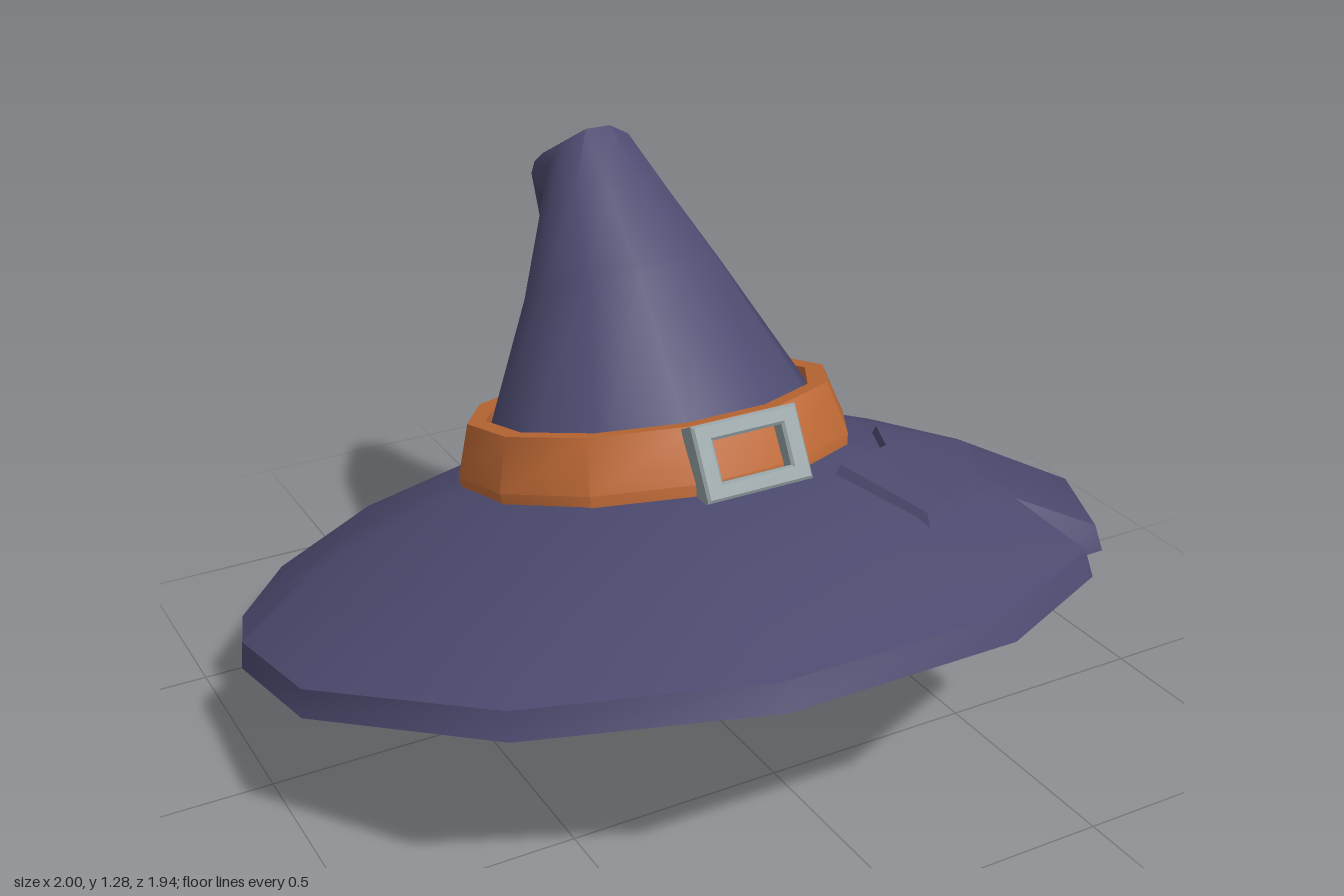
import * as THREE from 'three';
import { toCreasedNormals } from 'three/addons/utils/BufferGeometryUtils.js';

const RAD = Math.PI / 180;
const TILT = -15 * RAD;
const V = (x, y, z) => new THREE.Vector3(x, y, z);

const cloth = new THREE.MeshStandardMaterial({ name: 'purple cloth', color: 0x4d4b70 });
const leather = new THREE.MeshStandardMaterial({ name: 'orange leather', color: 0xc06a36 });
const metal = new THREE.MeshStandardMaterial({ name: 'grey metal', color: 0x96a2a5 });

// Skin closed rings of points, listed counterclockwise as seen from the next ring
function loft(name, rings, material, crease) {
  const pos = [];
  const tri = (a, b, c) => {
    const area = b.clone().sub(a).cross(c.clone().sub(a)).length();
    if (area > 1e-7) pos.push(...a, ...b, ...c);
  };
  for (let r = 0; r < rings.length - 1; r++) {
    const lo = rings[r], hi = rings[r + 1], n = lo.length;
    for (let i = 0; i < n; i++) {
      const j = (i + 1) % n;
      tri(lo[i], lo[j], hi[j]);
      tri(lo[i], hi[j], hi[i]);
    }
  }
  const geo = new THREE.BufferGeometry();
  geo.setAttribute('position', new THREE.Float32BufferAttribute(pos, 3));
  const mesh = new THREE.Mesh(toCreasedNormals(geo, crease), material);
  mesh.name = name;
  return mesh;
}

// Point on a twelve-sided ring, given its flat-side radius and an angle from +z towards +x
function ringPoint(p, y, deg, dz = 0) {
  const r = p / Math.cos((deg - 30 * Math.round(deg / 30)) * RAD);
  return V(r * Math.sin(deg * RAD), y, r * Math.cos(deg * RAD) + dz);
}
const corners = Array.from({ length: 12 }, (_, k) => 15 + 30 * k);

// Height of the upper brim surface
const brimTop = [[0.99, 0.06], [0.73, 0.208], [0.46, 0.305], [0.36, 0.325]];
function brimHeight(p) {
  for (let i = 0; i < brimTop.length - 1; i++) {
    const [p0, y0] = brimTop[i], [p1, y1] = brimTop[i + 1];
    if (p >= p1) return y0 + (y1 - y0) * (p0 - p) / (p0 - p1);
  }
  return 0.325;
}

// Brim with two torn notches, each replacing one corner; their floors slope out to the lip
function makeBrim() {
  const notches = { 45: [39.2, 44.3, 50.2], 255: [248.4, 256, 260.4] };
  const topTip = 0.815, bottomTip = 0.888;
  const outline = corners.flatMap((c) =>
    notches[c] ? notches[c].map((deg, i) => ({ deg, tip: i === 1 })) : [{ deg: c, tip: false }]);
  const profile = [[0, 0.27], [0.42, 0.24], [0.7, 0.13], [0.875, 0], [1, 0], ...brimTop];
  const rings = profile.map(([p, y]) => outline.map(({ deg, tip }) => {
    if (tip && p > bottomTip) {
      return y > 0 ? ringPoint(topTip, brimHeight(topTip), deg) : ringPoint(bottomTip, 0, deg);
    }
    return ringPoint(p, y, deg);
  }));
  return loft('brim', rings, cloth, 0.55);
}

// Raised patch that follows the brim
function makePatch() {
  const outline = [[0.77, 20], [0.765, 44], [0.76, 68], [0.515, 65], [0.53, 44], [0.515, 22]];
  const inset = [[0.755, 21.5], [0.75, 44], [0.745, 66.5], [0.53, 63], [0.545, 44], [0.53, 24]];
  const base = outline.map(([p, a]) => ringPoint(p, brimHeight(p) - 0.01, a));
  const top = inset.map(([p, a]) => ringPoint(p, brimHeight(p) + 0.022, a));
  const middle = top.map((v, i) => v.clone().lerp(top[5 - i], 0.5));
  return loft('patch', [base, top, middle], cloth, 0.5);
}

// Hat band
function makeBand() {
  const profile = [[0.44, 0.27], [0.448, 0.33], [0.412, 0.45], [0.37, 0.45], [0.362, 0.36]];
  const rings = profile.map(([p, y]) => corners.map((a) => ringPoint(p, y, a, 0.02)));
  return loft('band', rings, leather, 0.6);
}

// Crown: sections given by front z, y, back z, y and half width, bent over at the tip
function makeCrown() {
  const sections = [
    [0.31, 0.745, -0.455, 0.545, 0.38],
    [-0.02, 1.045, -0.407, 0.846, 0.228],
    [-0.2, 1.18, -0.408, 1.0, 0.158],
    [-0.33, 1.278, -0.415, 1.05, 0.115],
    [-0.595, 1.145, -0.53, 1.04, 0.06],
    [-0.616, 0.985, -0.585, 0.965, 0.025],
    [-0.6, 0.972, -0.6, 0.972, 0],
  ];
  const rings = sections.map(([fz, fy, bz, by, w]) => corners.map((deg) => {
    const c = Math.cos(deg * RAD) / Math.cos(15 * RAD) / 2;
    const s = Math.sin(deg * RAD) / Math.cos(15 * RAD);
    return V(w * s, (fy + by) / 2 + (fy - by) * c, (fz + bz) / 2 + (fz - bz) * c);
  }));
  return loft('crown', rings, cloth, 0.95);
}

// Buckle: bevelled rectangular frame
function makeBuckle() {
  const rect = (shape, w, h) => {
    shape.moveTo(-w, -h);
    shape.lineTo(w, -h);
    shape.lineTo(w, h);
    shape.lineTo(-w, h);
    shape.closePath();
    return shape;
  };
  const frame = rect(new THREE.Shape(), 0.124, 0.078);
  frame.holes.push(rect(new THREE.Path(), 0.091, 0.051));
  const geo = new THREE.ExtrudeGeometry(frame, {
    depth: 0.044, bevelEnabled: true, bevelSize: 0.006, bevelThickness: 0.006, bevelSegments: 1,
  });
  const mesh = new THREE.Mesh(geo, metal);
  mesh.name = 'buckle';
  mesh.position.set(0, 0.728, 0.34);
  mesh.rotation.x = -29 * RAD;
  return mesh;
}

export function createModel() {
  const hat = new THREE.Group();
  hat.name = 'hat';
  const base = new THREE.Group();
  base.name = 'tiltedBase';
  base.rotation.x = TILT;
  base.position.set(0, 0.26, 0.005);
  base.add(makeBrim(), makePatch(), makeBand());
  hat.add(base, makeCrown(), makeBuckle());
  return hat;
}
